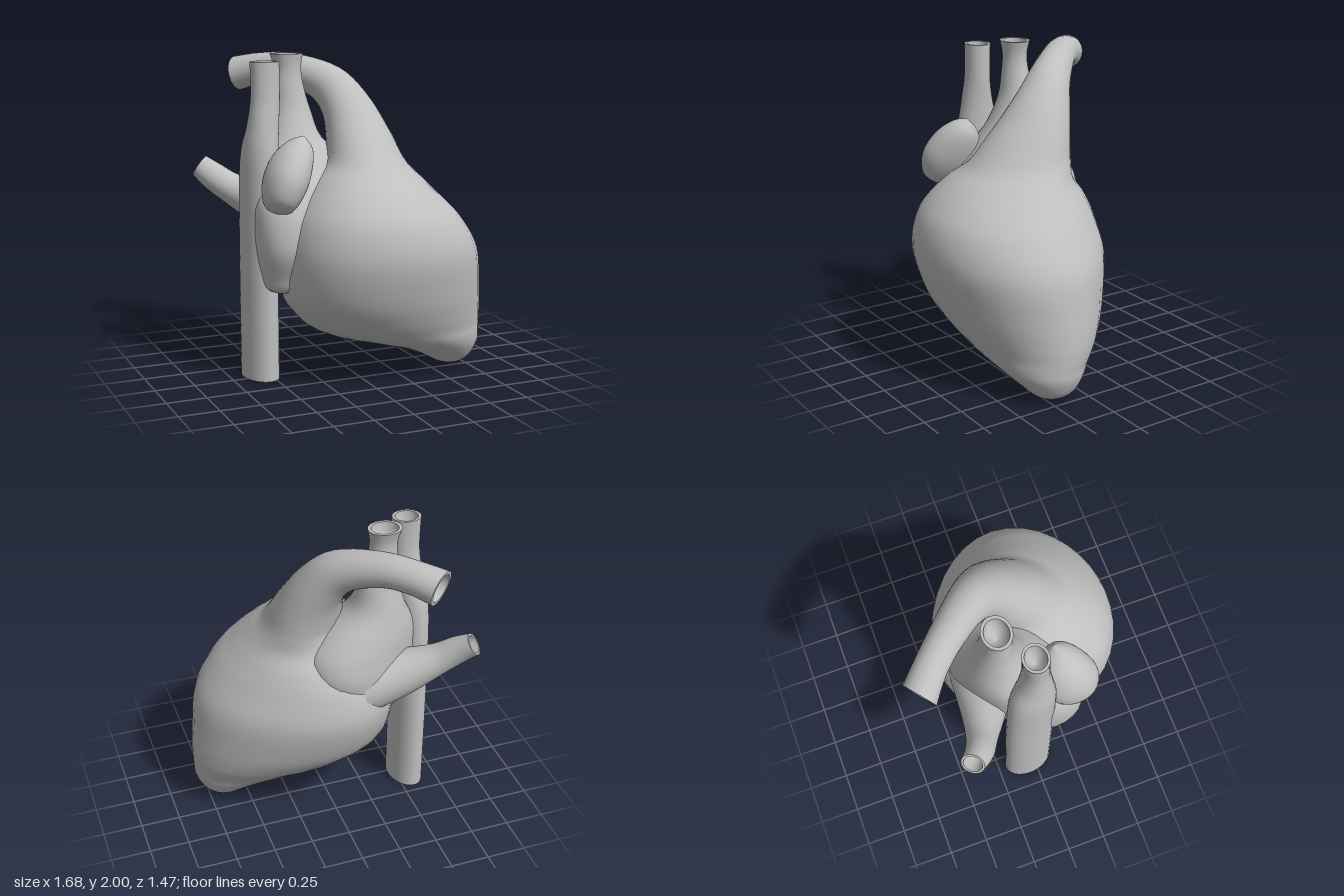
import * as THREE from 'three';

const SIDES = 36;
const STEPS = 5;

// Catmull-Rom blend of one number
function spline(a, b, c, d, t) {
  return 0.5 * (2 * b + (c - a) * t + (2 * a - 5 * b + 4 * c - d) * t * t + (3 * b - a - 3 * c + d) * t * t * t);
}

// Oval ring: centre, half width, half depth, axis direction,
// egg (belly moved to the right and ends bent forward) and skew (sheared to the left front)
function ring([x, y, z, a, b, nx, ny, nz, egg, skew], scale = 1, shift = 0) {
  const n = new THREE.Vector3(nx, ny, nz).normalize();
  const u = new THREE.Vector3(1, 0, 0).addScaledVector(n, -n.x).normalize();
  const v = new THREE.Vector3().crossVectors(u, n);
  const points = [];
  for (let j = 0; j < SIDES; j++) {
    const t = (j / SIDES) * Math.PI * 2;
    const c = Math.cos(t), s = Math.sin(t);
    points.push(new THREE.Vector3(x, y, z)
      .addScaledVector(n, shift)
      .addScaledVector(u, Math.max(a, 0) * scale * (c - egg * s * s * (1 - 0.4 * s)))
      .addScaledVector(v, Math.max(b, 0) * scale * (s - skew * c + 0.6 * egg * c * c)));
  }
  return points;
}

// Section with an upright axis
const flat = (x, y, z, a, b, egg = 0, skew = 0) => [x, y, z, a, b, 0, 1, 0, egg, skew];
// Section with a tilted axis
const tilted = (x, y, z, a, b, nx, ny, nz, skew = 0) => [x, y, z, a, b, nx, ny, nz, 0, skew];

// Smooth skin through sections, with a hollow mouth at open ends
function loft(s, openStart, openEnd) {
  const last = s.length - 1;
  const rings = [];
  const mouth = (q, dir) => [ring(q), ring(q, 0.8), ring(q, 0.8), ring(q, 0.7, -dir * 0.1), ring(q, 0, -dir * 0.12)];
  if (openStart) rings.push(...mouth(s[0], -1).reverse());
  for (let i = 0; i < last; i++) {
    for (let k = 0; k < STEPS; k++) {
      const p = [s[Math.max(i - 1, 0)], s[i], s[i + 1], s[Math.min(i + 2, last)]];
      rings.push(ring(s[i].map((_, c) => spline(p[0][c], p[1][c], p[2][c], p[3][c], k / STEPS))));
    }
  }
  rings.push(ring(s[last]));
  if (openEnd) rings.push(...mouth(s[last], 1));

  const index = [];
  for (let i = 0; i < rings.length - 1; i++) {
    for (let j = 0; j < SIDES; j++) {
      const k = (j + 1) % SIDES;
      const a = i * SIDES + j, b = i * SIDES + k;
      index.push(a, a + SIDES, b, b, a + SIDES, b + SIDES);
    }
  }
  const geometry = new THREE.BufferGeometry().setFromPoints(rings.flat());
  geometry.setIndex(index);
  geometry.computeVertexNormals();
  return geometry;
}

export function createModel() {
  const group = new THREE.Group();
  const grey = new THREE.MeshStandardMaterial({ color: 0xbfbfbf });
  grey.name = 'plain grey';

  const add = (name, sections, openStart = false, openEnd = false) => {
    const mesh = new THREE.Mesh(loft(sections, openStart, openEnd), grey);
    mesh.name = name;
    group.add(mesh);
  };

  // Ventricles, running up into the arching artery
  add('ventriclesAndArch', [
    flat(0.645, 0.017, 0.2, 0, 0),
    flat(0.642, 0.028, 0.2, 0.075, 0.08),
    flat(0.635, 0.06, 0.2, 0.135, 0.135),
    flat(0.605, 0.11, 0.2, 0.2, 0.185),
    flat(0.53, 0.175, 0.2, 0.3, 0.245),
    flat(0.42, 0.235, 0.195, 0.415, 0.3),
    flat(0.31, 0.3, 0.18, 0.53, 0.355),
    flat(0.24, 0.39, 0.16, 0.6, 0.43, 0.05),
    flat(0.18, 0.55, 0.14, 0.645, 0.525, 0.12),
    flat(0.15, 0.8, 0.135, 0.635, 0.595, 0.16),
    flat(0.11, 1.0, 0.14, 0.555, 0.565, 0.15),
    flat(0.09, 1.13, 0.14, 0.46, 0.485, 0.1, 0.05),
    flat(0.09, 1.24, 0.135, 0.36, 0.375, 0.04, 0.13),
    flat(0.105, 1.35, 0.075, 0.265, 0.29, 0, 0.2),
    tilted(0.095, 1.5, -0.02, 0.215, 0.215, -0.1, 1, -0.3, 0.2),
    tilted(0.06, 1.67, -0.12, 0.165, 0.165, -0.2, 1, -0.5, 0.12),
    tilted(-0.03, 1.81, -0.24, 0.13, 0.13, -0.45, 0.72, -0.72),
    tilted(-0.2, 1.885, -0.42, 0.105, 0.105, -0.6, 0.3, -0.75),
    tilted(-0.34, 1.885, -0.56, 0.1, 0.1, -0.6, -0.1, -0.75),
    tilted(-0.465, 1.85, -0.67, 0.11, 0.11, -0.6, -0.2, -0.75),
  ], false, true);

  // Atria, filling the back and narrowing into the middle vessel
  add('atriaAndMiddleVessel', [
    flat(-0.46, 0.55, 0.1, 0, 0),
    flat(-0.44, 0.59, 0.1, 0.12, 0.13, 0, 0.2),
    flat(-0.37, 0.68, 0.06, 0.225, 0.21, 0, 0.35),
    flat(-0.28, 0.85, 0, 0.345, 0.32, 0, 0.45),
    flat(-0.23, 1.05, -0.04, 0.395, 0.345, 0, 0.4),
    flat(-0.21, 1.2, -0.075, 0.385, 0.31, 0, 0.3),
    flat(-0.235, 1.33, -0.11, 0.31, 0.25, 0, 0.18),
    flat(-0.285, 1.48, -0.14, 0.18, 0.175, 0, 0.05),
    flat(-0.295, 1.65, -0.16, 0.125, 0.115),
    flat(-0.31, 1.8, -0.16, 0.095, 0.085),
    flat(-0.315, 1.91, -0.16, 0.085, 0.075),
    flat(-0.32, 2.0, -0.165, 0.105, 0.09),
  ], false, true);

  // Long straight vein down the right side
  add('longVein', [
    flat(-0.56, 0, -0.04, 0.107, 0.16, 0, -0.12),
    flat(-0.56, 0.8, -0.04, 0.107, 0.16, 0, -0.12),
    flat(-0.555, 1.35, -0.03, 0.11, 0.15, 0, -0.08),
    flat(-0.535, 1.58, -0.01, 0.097, 0.105),
    flat(-0.52, 1.75, -0.005, 0.09, 0.08),
    flat(-0.52, 1.965, -0.01, 0.09, 0.08),
  ], true, true);

  // Small lobe on the front of the atrium
  const lobe = (x, y, z, a, b) => tilted(x, y, z, a, b, 0.4, 0.85, -0.25);
  add('frontLobe', [
    lobe(-0.555, 1.085, 0.28, 0, 0),
    lobe(-0.545, 1.12, 0.275, 0.085, 0.12),
    lobe(-0.495, 1.24, 0.24, 0.13, 0.18),
    lobe(-0.43, 1.37, 0.2, 0.125, 0.16),
    lobe(-0.37, 1.47, 0.18, 0.08, 0.09),
    lobe(-0.345, 1.53, 0.18, 0, 0),
  ]);

  // Short vein branching off the back
  add('backVein', [
    tilted(-0.2, 0.98, -0.23, 0.2, 0.2, -0.9, 0.25, -0.35),
    tilted(-0.43, 1.05, -0.3, 0.145, 0.145, -0.85, 0.35, -0.35),
    tilted(-0.61, 1.14, -0.37, 0.1, 0.1, -0.8, 0.45, -0.35),
    tilted(-0.72, 1.22, -0.425, 0.09, 0.085, -0.75, 0.5, -0.4),
    tilted(-0.79, 1.285, -0.49, 0.075, 0.07, -0.7, 0.55, -0.45),
  ], false, true);

  return group;
}
